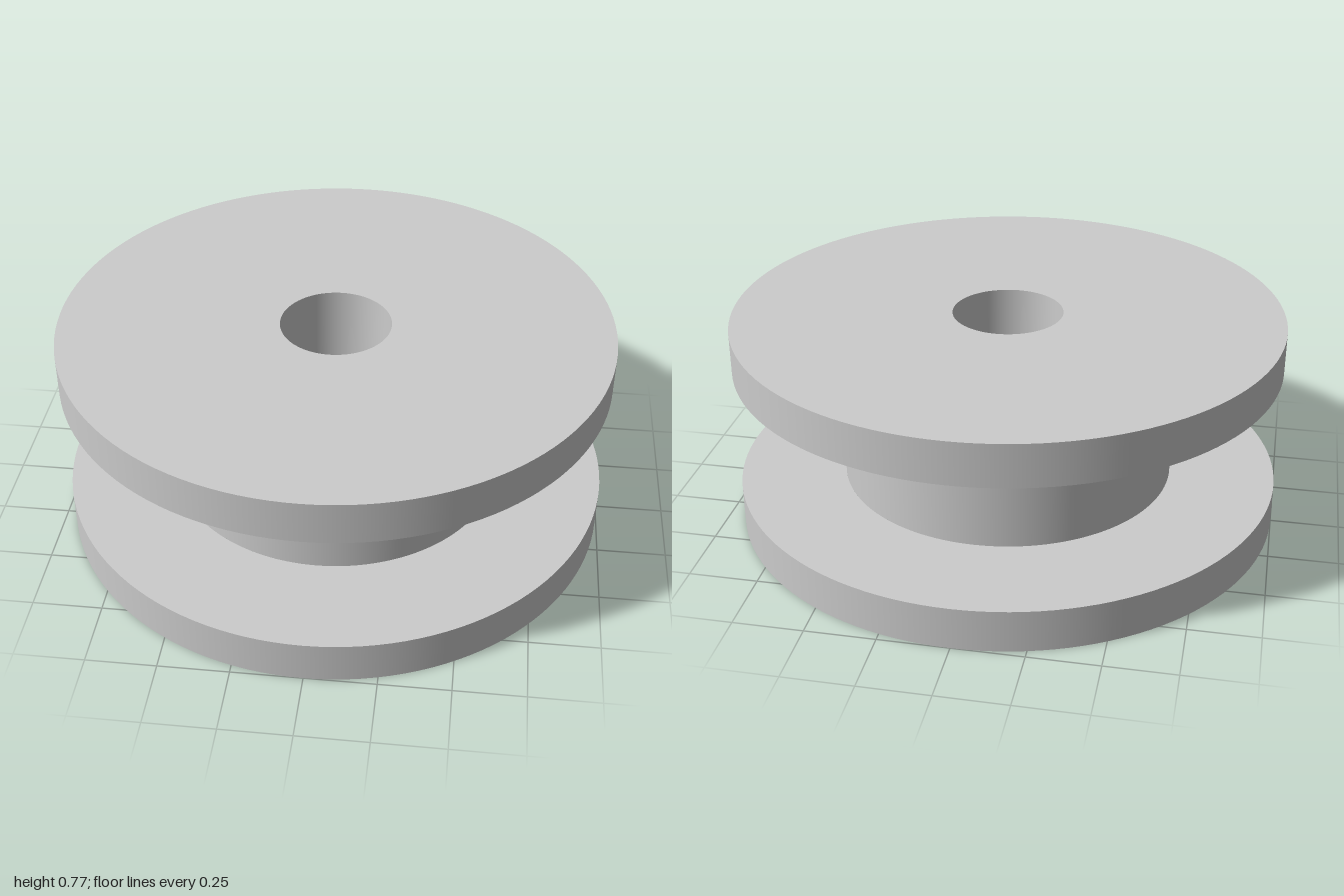
import * as THREE from 'three';
import { toCreasedNormals } from 'three/addons/utils/BufferGeometryUtils.js';

const HEIGHT = 0.77, FLANGE = 0.155, R_FLANGE = 1, R_HUB = 0.612, R_BORE = 0.201;
const HOLE_R = 0.064, HOLE_Y = HEIGHT / 2;

const grey = new THREE.MeshStandardMaterial({ color: 0xcccccc });
grey.name = 'grey';

export function createModel() {
  const model = new THREE.Group();
  model.name = 'spool';

  const add = (name, geometry, parent = model) => {
    const mesh = new THREE.Mesh(geometry, grey);
    mesh.name = name;
    parent.add(mesh);
    return mesh;
  };
  // One swept band between two profile points, so its edges stay sharp
  const band = (r0, y0, r1, y1, start = 0, length = Math.PI * 2, segments = 128) =>
    new THREE.LatheGeometry([new THREE.Vector2(r0, y0), new THREE.Vector2(r1, y1)], segments, start, length);

  // Flanges: rim, outer face and the ring facing the hub
  const bottom = new THREE.Group();
  bottom.name = 'bottomFlange';
  add('bottomRim', band(R_FLANGE, 0, R_FLANGE, FLANGE), bottom);
  add('bottomFace', band(R_BORE, 0, R_FLANGE, 0), bottom);
  add('bottomInnerFace', band(R_FLANGE, FLANGE, R_HUB, FLANGE), bottom);
  const top = new THREE.Group();
  top.name = 'topFlange';
  add('topRim', band(R_FLANGE, HEIGHT - FLANGE, R_FLANGE, HEIGHT), top);
  add('topFace', band(R_FLANGE, HEIGHT, R_BORE, HEIGHT), top);
  add('topInnerFace', band(R_HUB, HEIGHT - FLANGE, R_FLANGE, HEIGHT - FLANGE), top);
  model.add(bottom, top);

  // Hub and bore walls, leaving a gap on each side for the cord hole
  const hubGap = Math.asin(HOLE_R / R_HUB), boreGap = Math.asin(HOLE_R / R_BORE);
  for (const [side, start] of [['back', Math.PI / 2], ['front', -Math.PI / 2]]) {
    add(side + 'HubWall', band(R_HUB, FLANGE, R_HUB, HEIGHT - FLANGE,
      start + hubGap, Math.PI - 2 * hubGap, 64));
    add(side + 'BoreWall', band(R_BORE, HEIGHT, R_BORE, 0,
      start + boreGap, Math.PI - 2 * boreGap, 52));
  }

  // Teardrop cord hole on each side
  const cordHole = cordHoleGeometry();
  add('leftCordHole', cordHole);
  add('rightCordHole', cordHole).rotation.y = Math.PI;
  return model;
}

// Wall strips above and below a teardrop hole, plus the tunnel between hub and bore
function cordHoleGeometry() {
  const points = [];
  const quad = (a, b, c, d) => points.push(...a, ...b, ...c, ...a, ...c, ...d);
  const wallX = (r, z) => Math.sqrt(r * r - z * z);
  const steps = 24;
  const slice = (i) => {
    const t = (i / steps - 0.5) * Math.PI;
    const z = HOLE_R * Math.sin(t), rise = HOLE_R * Math.cos(t);
    // Round below, 45 degree roof above
    const roof = Math.abs(t) <= Math.PI / 4 + 1e-6 ? HOLE_R * Math.SQRT2 - Math.abs(z) : rise;
    return { z, low: HOLE_Y - rise, high: HOLE_Y + roof, out: wallX(R_HUB, z), inn: wallX(R_BORE, z) };
  };
  for (let i = 0; i < steps; i++) {
    const p = slice(i), q = slice(i + 1);
    // Hub strips
    quad([q.out, FLANGE, q.z], [p.out, FLANGE, p.z], [p.out, p.low, p.z], [q.out, q.low, q.z]);
    quad([q.out, q.high, q.z], [p.out, p.high, p.z],
      [p.out, HEIGHT - FLANGE, p.z], [q.out, HEIGHT - FLANGE, q.z]);
    // Bore strips
    quad([p.inn, 0, p.z], [q.inn, 0, q.z], [q.inn, q.low, q.z], [p.inn, p.low, p.z]);
    quad([p.inn, p.high, p.z], [q.inn, q.high, q.z], [q.inn, HEIGHT, q.z], [p.inn, HEIGHT, p.z]);
    // Tunnel floor and roof
    quad([p.inn, p.low, p.z], [q.inn, q.low, q.z], [q.out, q.low, q.z], [p.out, p.low, p.z]);
    quad([p.out, p.high, p.z], [q.out, q.high, q.z], [q.inn, q.high, q.z], [p.inn, p.high, p.z]);
  }
  const geometry = new THREE.BufferGeometry();
  geometry.setAttribute('position', new THREE.Float32BufferAttribute(points, 3));
  return toCreasedNormals(geometry, 0.6);
}
